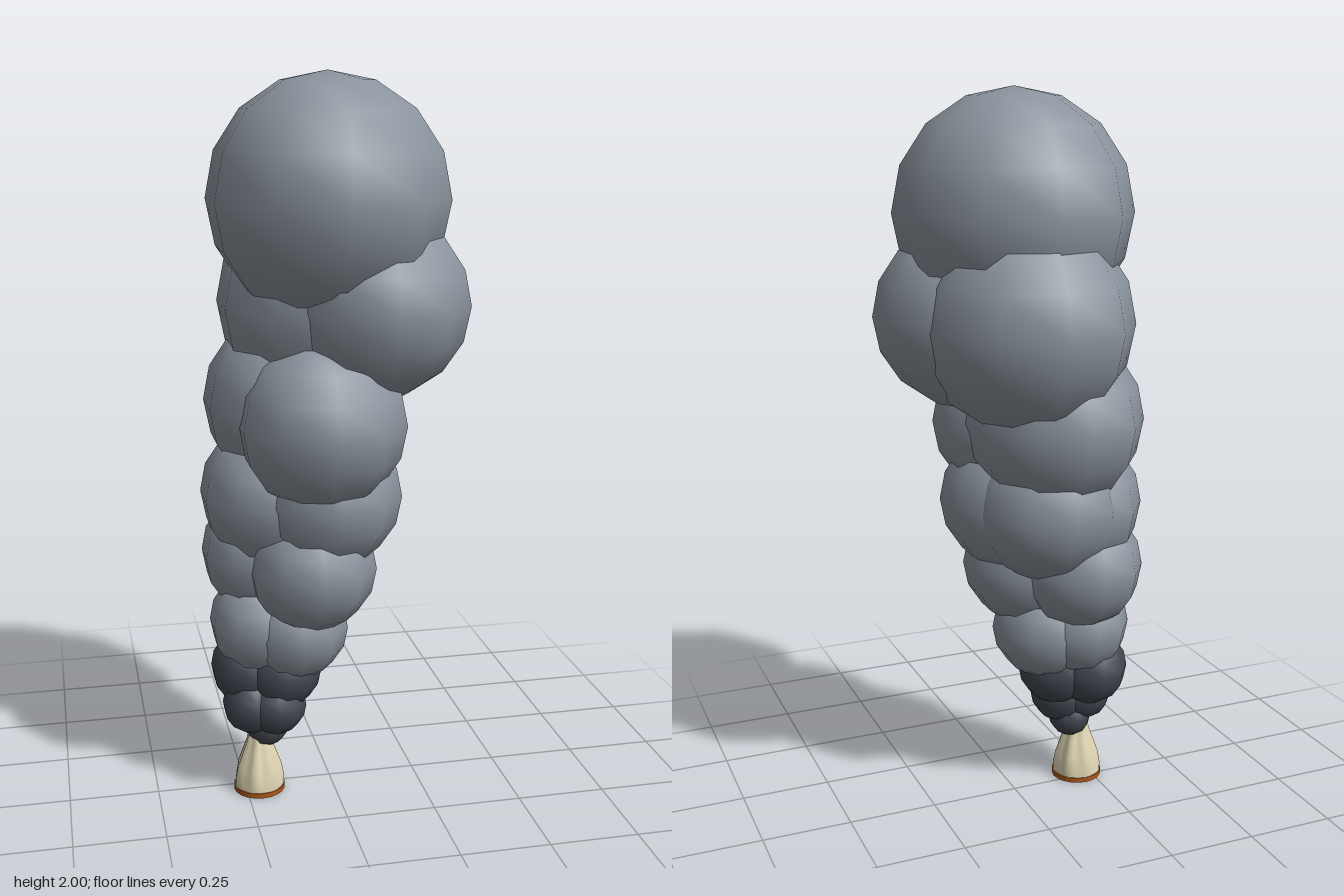
import * as THREE from 'three';

const mat = (name, color, extra = {}) => {
  const m = new THREE.MeshStandardMaterial({ color, ...extra });
  m.name = name;
  return m;
};

export function createModel() {
  const group = new THREE.Group();
  const smoke = mat('smoke grey', 0x8b949e);
  const soot = mat('soot grey', 0x434852);
  const cream = mat('cream', 0xded5b2, { side: THREE.DoubleSide });
  const ember = mat('burnt orange', 0xb0581c);

  // Shared low-poly ball with smooth normals, vertices on the z axis
  const ball = new THREE.SphereGeometry(1, 10, 8);
  ball.rotateY(Math.PI / 2);

  const puffs = (name, material, list) => list.forEach(([x, y, z, r], i) => {
    const m = new THREE.Mesh(ball, material);
    m.name = name + (i + 1);
    m.position.set(x, y, z);
    m.scale.setScalar(r);
    group.add(m);
  });

  // Smoke column, top to bottom
  puffs('smokePuff', smoke, [
    [-0.012, 1.675, 0.035, 0.325],
    [0.112, 1.4, 0.08, 0.25],
    [-0.005, 1.39, -0.066, 0.294],
    [-0.045, 1.09, 0.115, 0.23],
    [-0.095, 1.12, -0.05, 0.248],
    [-0.02, 0.88, 0.06, 0.207],
    [-0.155, 0.87, -0.02, 0.205],
    [-0.075, 0.88, -0.045, 0.21],
    [-0.065, 0.68, 0.075, 0.18],
    [-0.18, 0.69, -0.05, 0.176],
    [-0.105, 0.49, 0.03, 0.15],
    [-0.195, 0.5, -0.005, 0.147],
  ]);

  // Dark soot near the source
  puffs('sootPuff', soot, [
    [-0.142, 0.36, 0.025, 0.111],
    [-0.23, 0.36, -0.015, 0.11],
    [-0.165, 0.265, 0.045, 0.088],
    [-0.228, 0.265, 0.03, 0.086],
    [-0.187, 0.195, 0.025, 0.062],
  ]);

  // Flared cream bell with soft vertical folds
  const profile = [[0.07, 0.012], [0.068, 0.04], [0.06, 0.075], [0.046, 0.115], [0.034, 0.15], [0.028, 0.18]]
    .map(([r, y]) => new THREE.Vector2(r, y));
  const bellGeo = new THREE.LatheGeometry(profile, 32);
  const p = bellGeo.attributes.position;
  for (let i = 0; i < p.count; i++) {
    const x = p.getX(i), y = p.getY(i), z = p.getZ(i);
    const fold = 1 + 0.09 * Math.sin(Math.atan2(z, x) * 7 + y * 6) * Math.min(1, y / 0.08);
    p.setXYZ(i, x * fold, y, z * fold);
  }
  bellGeo.computeVertexNormals();
  const bell = new THREE.Mesh(bellGeo, cream);
  bell.name = 'flaredBell';
  bell.position.set(-0.212, 0, 0.028);
  group.add(bell);

  // Thin base disc
  const base = new THREE.Mesh(new THREE.CylinderGeometry(0.073, 0.073, 0.014, 20), ember);
  base.name = 'baseDisc';
  base.position.set(-0.212, 0.007, 0.028);
  group.add(base);

  return group;
}
